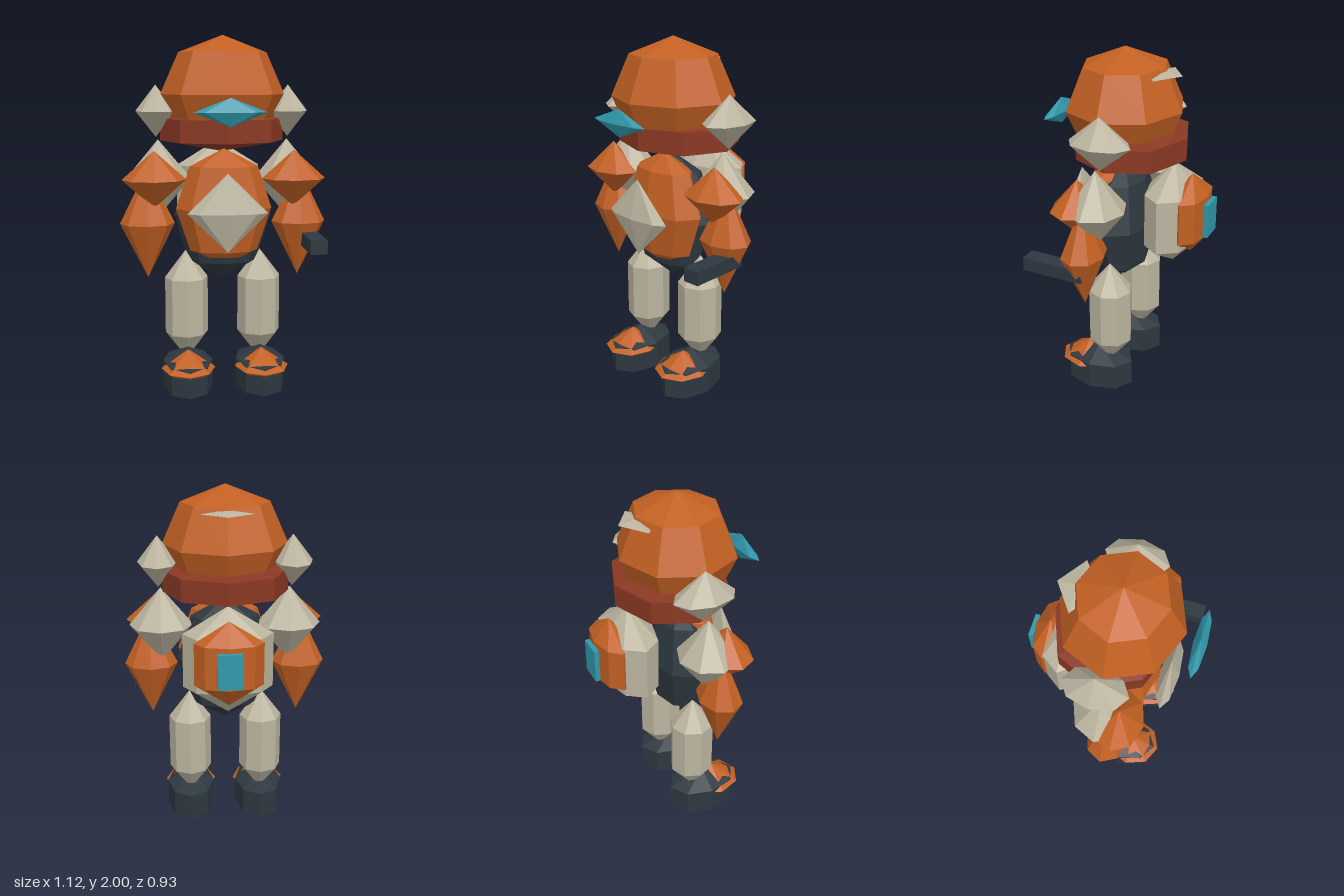
import * as THREE from 'three';

const flat = (name, color) => {
  const m = new THREE.MeshStandardMaterial({ color, flatShading: true });
  m.name = name;
  return m;
};

export function createModel() {
  const root = new THREE.Group();
  root.name = 'armouredRobot';

  const orange = flat('orange armour', 0xc26023);
  const rust = flat('rust red', 0x8a3823);
  const bone = flat('bone grey', 0xbbb49f);
  const dark = flat('dark slate', 0x2e3840);
  const teal = flat('teal glow', 0x3098ab);

  // Faceted ellipsoid: rows 2 = bipyramid, 3 = barrel with pointed caps, 4 = rounded
  const gem = (name, mat, rows, pos, radii, parent = root, sides = 8) => {
    const geo = new THREE.SphereGeometry(1, sides, rows);
    geo.scale(...radii);
    const mesh = new THREE.Mesh(geo, mat);
    mesh.name = name;
    mesh.position.set(...pos);
    parent.add(mesh);
    return mesh;
  };
  const box = (name, mat, pos, size) => {
    const mesh = new THREE.Mesh(new THREE.BoxGeometry(...size), mat);
    mesh.name = name;
    mesh.position.set(...pos);
    root.add(mesh);
    return mesh;
  };

  // Head
  gem('helmet', orange, 4, [0, 1.69, 0.04], [0.335, 0.31, 0.317]);
  gem('collar', rust, 3, [0, 1.5, -0.003], [0.39, 0.12, 0.352]);
  gem('visor', teal, 2, [0, 1.607, 0.428], [0.185, 0.072, 0.035]);
  gem('helmetFin', bone, 2, [0, 1.88, -0.175], [0.14, 0.02, 0.1], root, 4);

  // Torso
  gem('torso', dark, 4, [0, 1.035, 0.05], [0.265, 0.357, 0.175]);
  gem('chestPlate', orange, 4, [0, 1.08, 0.11], [0.26, 0.325, 0.152]);
  gem('chestGem', bone, 2, [0, 1.083, 0.312], [0.21, 0.208, 0.054]);

  // Backpack
  gem('backpack', bone, 3, [0, 1.132, -0.245], [0.274, 0.293, 0.16]);
  gem('backpackShell', orange, 3, [0, 1.147, -0.347], [0.208, 0.228, 0.106]);
  box('backpackPanel', teal, [0, 1.143, -0.45], [0.128, 0.187, 0.026]);

  // Mirrored limbs and ear pods
  for (const [side, s] of [['left', 1], ['right', -1]]) {
    const half = new THREE.Group();
    half.name = side + 'Side';
    root.add(half);
    const part = (name, mat, rows, [x, y, z], radii) =>
      gem(side + name, mat, rows, [x * s, y, z], radii, half);

    part('EarPod', bone, 2, [0.36, 1.6, 0.01], [0.108, 0.14, 0.17]);
    part('ShoulderPad', bone, 2, [0.35, 1.24, 0.043], [0.175, 0.21, 0.16]);
    part('UpperArm', orange, 2, [0.375, 1.243, 0.135], [0.172, 0.153, 0.132]);
    part('Forearm', orange, 2, [0.413, 1.0, 0.085], [0.148, 0.3, 0.116]);
    part('Leg', bone, 3, [0.202, 0.53, 0.043], [0.137, 0.315, 0.143]);
    part('Boot', dark, 3, [0.202, 0.155, 0.115], [0.158, 0.15, 0.236]);
    part('ToeCap', orange, 2, [0.202, 0.207, 0.178], [0.148, 0.103, 0.167]);
  }

  // Hand tool held on the left
  box('handTool', dark, [0.464, 0.912, 0.23], [0.09, 0.074, 0.34]);

  return root;
}
